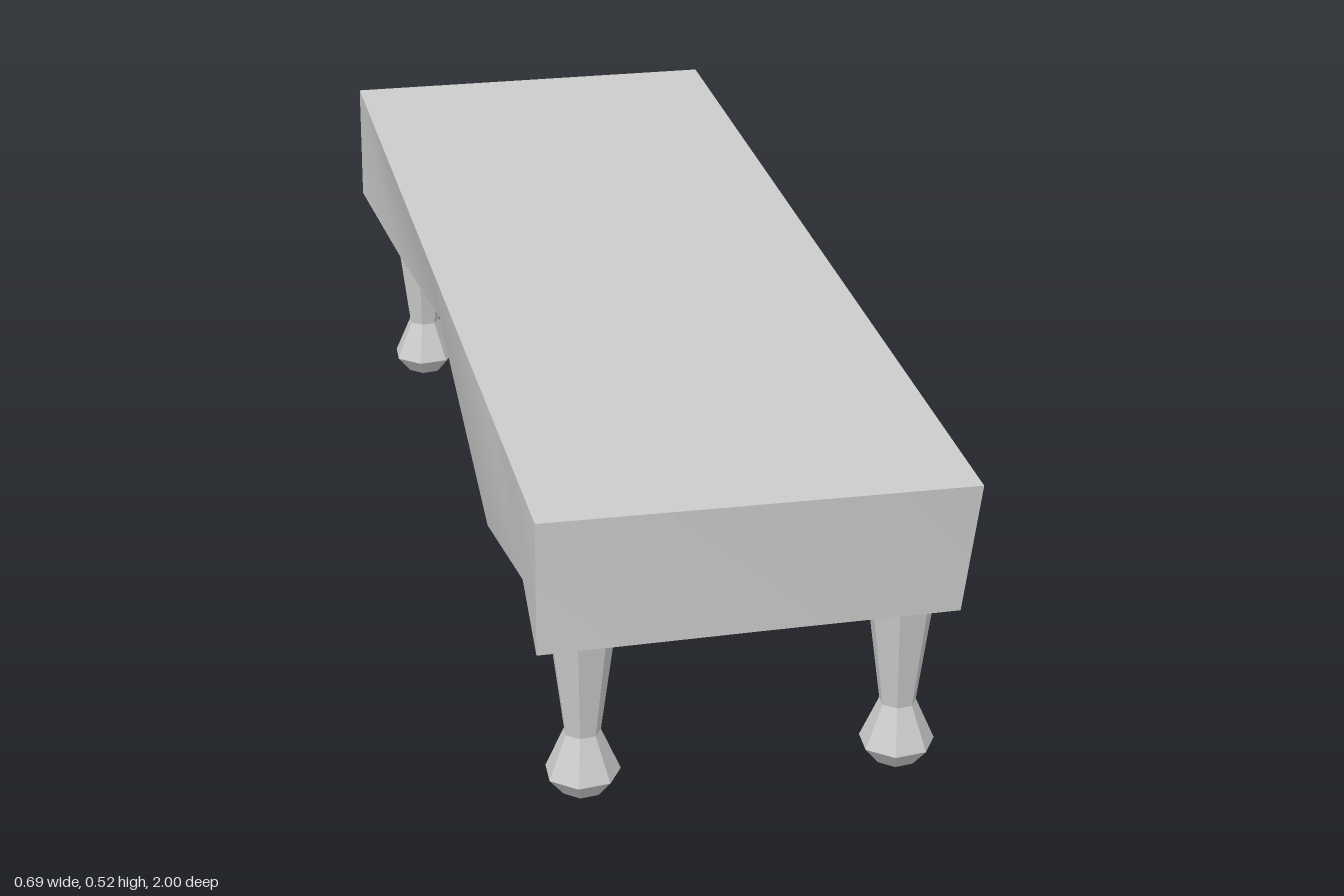
import * as THREE from 'three';
import { mergeGeometries } from 'three/addons/utils/BufferGeometryUtils.js';

const TOP = 0.523, HEM = 0.311, THICK = 0.01;
const X0 = -0.346, X1 = 0.322, Z = 1;
const CORNERS = [[X0, Z], [X1, Z], [X1, -Z], [X0, -Z]];
const grey = new THREE.MeshStandardMaterial({ color: 0xcccccc, side: THREE.DoubleSide });
const greyFlat = new THREE.MeshStandardMaterial({ color: 0xcccccc, flatShading: true });

// Smooth surface between two rows of points, lower row first, left to right;
// inward turns the faces round but keeps the same folds
function strip(lower, upper, inward = false) {
  const n = lower.length, index = [];
  for (let i = 0; i < n - 1; i++) index.push(i, i + 1, n + i, i + 1, n + i + 1, n + i);
  if (inward) index.reverse();
  const g = new THREE.BufferGeometry().setFromPoints([...lower, ...upper]);
  g.setIndex(index);
  g.computeVertexNormals();
  return g;
}

// Shift a point inwards by the cloth thickness
function inset(p, y) {
  const cx = (X0 + X1) / 2;
  return new THREE.Vector3(
    cx + (p.x - cx) * (1 - 2 * THICK / (X1 - X0)), y, p.z * (1 - THICK / Z));
}

function createCover() {
  // Wavy hem of each side as [x, z], walking round the cover
  const sides = [
    [[X0, 1], [0, 0.988], [0.3, 0.98]],
    [[0.3, 0.98], [0.321, 0.77], [0.287, 0.55], [0.306, -0.14], [0.345, -0.6], [X1, -1]],
    [[X1, -1], [0.085, -0.96], [-0.14, -0.978], [X0, -1]],
    [[X0, -1], [-0.32, -0.62], [-0.275, -0.13], [X0, 0.55], [-0.324, 0.75], [X0, 1]],
  ];
  const parts = [];
  sides.forEach((side, s) => {
    const last = side.length - 1;
    const hem = side.map(([x, z]) => new THREE.Vector3(x, HEM, z));
    // Straight upper edge above the hem
    const [ax, az] = CORNERS[s], [bx, bz] = CORNERS[(s + 1) % 4];
    const top = hem.map((p, i) => {
      if (i === 0) return new THREE.Vector3(ax, TOP, az);
      if (i === last) return new THREE.Vector3(bx, TOP, bz);
      return new THREE.Vector3(ax === bx ? ax : p.x, TOP, az === bz ? az : p.z);
    });
    const innerHem = hem.map(p => inset(p, HEM));
    const innerTop = top.map(p => inset(p, TOP - THICK));
    parts.push(strip(hem, top), strip(innerHem, innerTop, true), strip(innerHem, hem));
  });
  // Flat top and its underside
  const row = z => [new THREE.Vector3(X0, TOP, z), new THREE.Vector3(X1, TOP, z)];
  const innerRow = z => row(z).map(p => inset(p, TOP - THICK));
  parts.push(strip(row(Z), row(-Z)), strip(innerRow(Z), innerRow(-Z), true));

  const cover = new THREE.Mesh(mergeGeometries(parts), grey);
  cover.name = 'drapedCover';
  return cover;
}

// Seven-sided turned leg with a bulbous foot
function createLegGeometry() {
  const profile = [[0, 0], [0.034, 0], [0.0595, 0.03], [0.029, 0.1], [0.07, 0.4], [0, 0.4]]
    .map(([r, y]) => new THREE.Vector2(r, y));
  return new THREE.LatheGeometry(profile, 7, THREE.MathUtils.degToRad(-16));
}

export function createModel() {
  const model = new THREE.Group();
  model.name = 'coveredBench';
  model.add(createCover());

  const legGeometry = createLegGeometry();
  for (const [zName, z] of [['front', 0.855], ['back', -0.838]]) {
    for (const [xName, x] of [['Left', 0.243], ['Right', -0.253]]) {
      const leg = new THREE.Mesh(legGeometry, greyFlat);
      leg.name = zName + xName + 'Leg';
      leg.position.set(x, 0, z);
      model.add(leg);
    }
  }
  return model;
}
